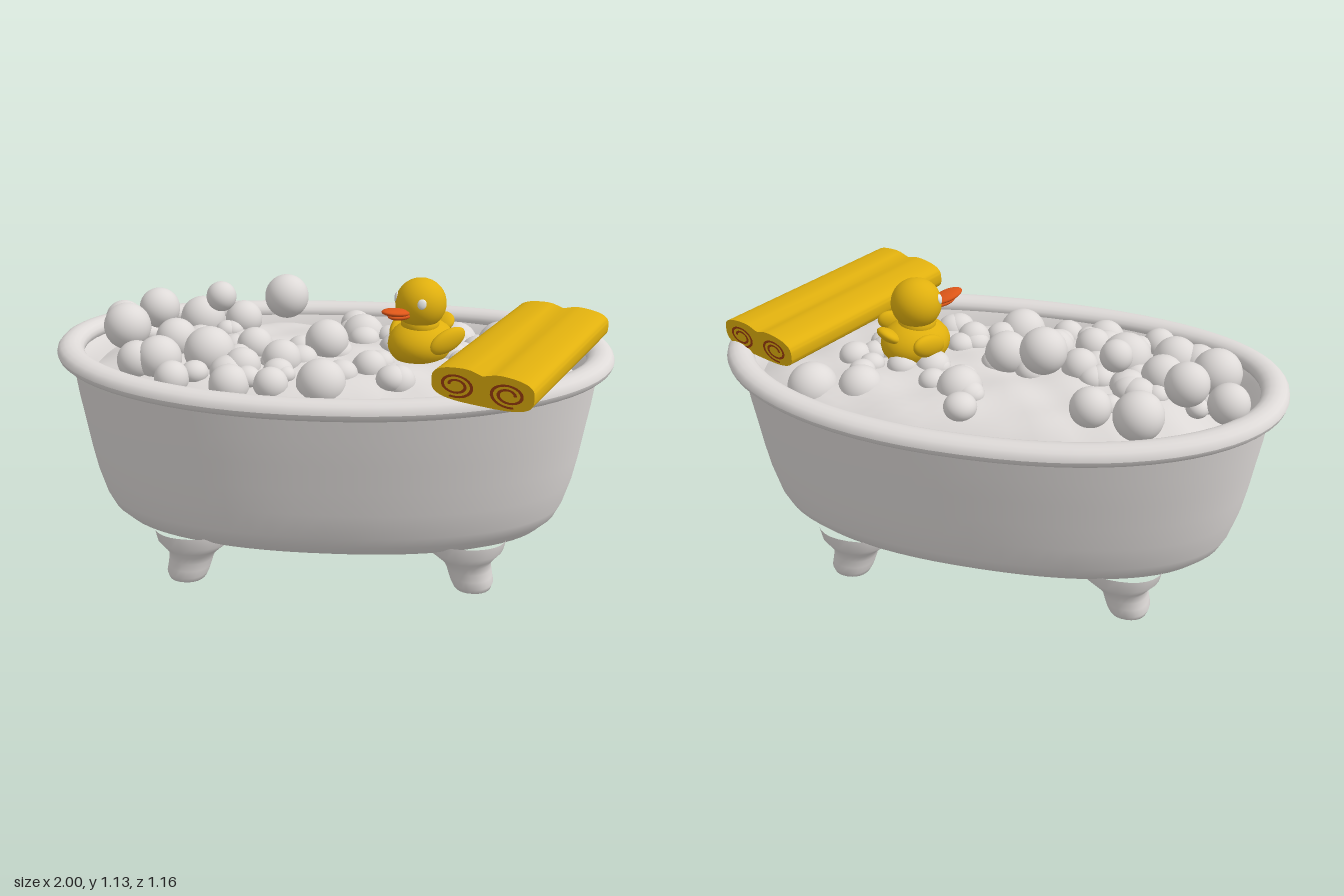
import * as THREE from 'three';
import { toCreasedNormals } from 'three/addons/utils/BufferGeometryUtils.js';

const paint = (name, color, side = THREE.FrontSide) => {
  const m = new THREE.MeshStandardMaterial({ color, side });
  m.name = name;
  return m;
};

export function createModel() {
  const enamel = paint('white enamel', 0xdedad8);
  const yellow = paint('warm yellow', 0xe0b00e);
  const orange = paint('orange', 0xdd5618);
  const fold = paint('towel fold red', 0x9c3d0c, THREE.DoubleSide);
  const eyeWhite = paint('eye white', 0xeeeeea);

  const model = new THREE.Group();
  model.name = 'bathtub';
  const TUB_Z = -0.045;

  const add = (parent, name, geo, mat) => {
    const mesh = new THREE.Mesh(geo, mat);
    mesh.name = name;
    parent.add(mesh);
    return mesh;
  };
  const sphere = new THREE.SphereGeometry(1, 28, 18);
  const ball = (parent, name, mat, pos, size, rot = [0, 0, 0]) => {
    const mesh = add(parent, name, sphere, mat);
    mesh.position.set(...pos);
    mesh.scale.set(...size);
    mesh.rotation.set(...rot);
    return mesh;
  };

  // Skin over oval rings; each row is [rx, rz, y, cx, cz], upward rows face out
  const loft = (rows, { n = 72, power = 2.15, rise = 0 } = {}) => {
    const pos = [], idx = [];
    const curve = (v) => Math.sign(v) * Math.abs(v) ** (2 / power);
    rows.forEach(([rx, rz, y, cx = 0, cz = 0]) => {
      for (let j = 0; j < n; j++) {
        const t = (j / n) * Math.PI * 2;
        pos.push(cx + rx * curve(Math.cos(t)), y + rise * Math.cos(t) ** 2, cz + rz * curve(Math.sin(t)));
      }
    });
    for (let i = 0; i < rows.length - 1; i++) {
      for (let j = 0; j < n; j++) {
        const a = i * n + j, b = i * n + ((j + 1) % n);
        idx.push(a, a + n, b, b, a + n, b + n);
      }
    }
    const g = new THREE.BufferGeometry();
    g.setAttribute('position', new THREE.Float32BufferAttribute(pos, 3));
    g.setIndex(idx);
    g.computeVertexNormals();
    return g;
  };

  // Tub shell, rolled rim and inner wall
  const tub = new THREE.Group();
  tub.name = 'tub';
  tub.position.z = TUB_Z;
  model.add(tub);
  add(tub, 'tubBody', loft([
    [0.001, 0.001, 0.138], [0.45, 0.17, 0.138], [0.6, 0.22, 0.142], [0.68, 0.265, 0.153],
    [0.75, 0.31, 0.175], [0.8, 0.345, 0.2], [0.845, 0.39, 0.25], [0.866, 0.415, 0.3],
    [0.892, 0.432, 0.4], [0.908, 0.446, 0.5], [0.92, 0.459, 0.6], [0.933, 0.473, 0.7], [0.946, 0.487, 0.84],
  ], { power: 2.25 }), enamel);
  const rimRows = [];
  for (let i = 0; i <= 16; i++) {
    const a = (i / 16) * Math.PI * 2;
    const d = 0.048 * Math.cos(a);
    rimRows.push([0.95 + d, 0.498 + d, 0.827 + 0.036 * Math.sin(a)]);
  }
  add(tub, 'rim', loft(rimRows, { rise: 0.028 }), enamel);
  add(tub, 'innerWall', loft([[0.925, 0.475, 0.85], [0.9, 0.45, 0.82], [0.88, 0.425, 0.78], [0.86, 0.4, 0.72]]), enamel);

  // Four stubby feet flaring into the belly
  for (const sx of [-1, 1]) {
    for (const sz of [-1, 1]) {
      const foot = [
        [0.001, 0.001, 0, 0.535], [0.055, 0.06, 0, 0.535], [0.071, 0.077, 0.009, 0.535], [0.079, 0.085, 0.03, 0.533],
        [0.081, 0.085, 0.06, 0.525], [0.083, 0.083, 0.09, 0.518], [0.09, 0.09, 0.12, 0.51],
        [0.11, 0.105, 0.145, 0.505], [0.14, 0.12, 0.175, 0.5], [0.15, 0.12, 0.22, 0.5],
      ].map(([rx, rz, y, cx]) => [rx, rz, y, sx * cx, sz * 0.205]);
      add(tub, 'foot', loft(foot, { n: 28, power: 2.3 }), enamel);
    }
  }

  // Foam: a lumpy bed, large bubbles placed by hand, small ones scattered
  const foam = new THREE.Group();
  foam.name = 'foam';
  model.add(foam);
  const bedRows = [];
  for (let i = 0; i <= 16; i++) {
    const s = Math.max(1 - i / 16, 0.001);
    bedRows.push([0.87 * s, 0.405 * s, 0.775 + 0.075 * (1 - s ** 5)]);
  }
  const bed = loft(bedRows, { power: 2.5 });
  const p = bed.attributes.position;
  for (let i = 0; i < p.count; i++) {
    const x = p.getX(i), z = p.getZ(i);
    p.setY(i, p.getY(i) + 0.009 * Math.sin(x * 19 + 2 * z) * Math.cos(z * 23 - x * 5));
  }
  bed.computeVertexNormals();
  add(foam, 'foamBed', bed, enamel).position.z = TUB_Z;

  // x, z, radius, top height
  const bubbles = [
    [-0.18, -0.18, 0.08, 1.08], [-0.42, -0.16, 0.055, 1.055], [-0.66, -0.19, 0.075, 1.015], [-0.8, -0.2, 0.07, 0.96],
    [-0.75, -0.05, 0.085, 1.0], [-0.52, -0.3, 0.085, 0.95], [-0.36, -0.29, 0.07, 0.94], [-0.43, 0.07, 0.09, 0.96],
    [-0.02, -0.02, 0.078, 0.965], [-0.02, 0.25, 0.085, 0.92], [-0.6, 0.12, 0.08, 0.94], [-0.68, 0.12, 0.07, 0.92],
    [-0.3, 0.16, 0.065, 0.92], [-0.17, 0.1, 0.07, 0.93], [0.1, -0.22, 0.08, 0.92], [-0.53, 0.25, 0.06, 0.9],
    [-0.33, 0.27, 0.07, 0.9], [0.14, 0.13, 0.06, 0.91], [-0.57, -0.04, 0.075, 0.95], [-0.28, -0.02, 0.065, 0.93],
    [0.24, 0.21, 0.06, 0.89], [0.62, -0.26, 0.09, 0.89], [0.45, -0.24, 0.08, 0.89], [-0.19, 0.26, 0.06, 0.89],
  ];
  for (const [x, z, r, top] of bubbles) ball(foam, 'bubble', enamel, [x, top - r, z], [r, r, r]);
  let seed = 11;
  const rand = () => (seed = (seed * 16807) % 2147483647) / 2147483647;
  for (let i = 0; i < 50; i++) {
    const a = rand() * Math.PI * 2, d = Math.sqrt(rand()), r = 0.035 + 0.03 * rand();
    const x = -0.13 + 0.66 * d * Math.cos(a);
    ball(foam, 'smallBubble', enamel, [x, 0.845, TUB_Z + 0.32 * d * Math.sin(a)], [r, r * 0.85, r]);
  }

  // Toy duck, built facing +z and then turned
  const duck = new THREE.Group();
  duck.name = 'toyDuck';
  duck.position.set(0.31, 0, -0.01);
  duck.rotation.y = -0.75;
  model.add(duck);
  ball(duck, 'duckBody', yellow, [0, 0.895, -0.01], [0.112, 0.085, 0.128]);
  ball(duck, 'duckNeck', yellow, [0, 0.965, 0], [0.068, 0.05, 0.068]);
  ball(duck, 'duckHead', yellow, [0, 1.041, 0], [0.09, 0.089, 0.09]);
  ball(duck, 'duckTail', yellow, [0, 0.945, -0.115], [0.05, 0.022, 0.045], [0.6, 0, 0]);
  for (const s of [-1, 1]) {
    ball(duck, 'duckWing', yellow, [s * 0.112, 0.925, -0.02], [0.025, 0.042, 0.075], [0.35, s * -0.25, 0]);
    ball(duck, 'duckEye', eyeWhite, [s * 0.06, 1.063, 0.06], [0.016, 0.018, 0.008], [-0.25, s * 0.78, 0]);
  }
  ball(duck, 'upperBeak', orange, [0, 1.035, 0.125], [0.036, 0.014, 0.062], [-0.2, 0, 0]);
  ball(duck, 'lowerBeak', orange, [0, 1.018, 0.105], [0.03, 0.013, 0.052], [-0.1, 0, 0]);

  // Rolled towel lying across the rim, with scrolls showing at both ends
  const towel = new THREE.Group();
  towel.name = 'towel';
  towel.position.set(0.667, 0.929, 0.145);
  towel.rotation.set(-0.012, -0.438, 0, 'YXZ');
  model.add(towel);
  const outline = [];
  for (let i = 0; i < 64; i++) {
    const a = (i / 64) * Math.PI * 2, c = Math.cos(a), s = Math.sin(a);
    const x = 0.171 * Math.sign(c) * Math.abs(c) ** 0.62;
    const groove = s > 0 ? 0.014 * Math.exp(-((x / 0.03) ** 2)) : 0;
    outline.push(new THREE.Vector2(x, 0.057 * Math.sign(s) * Math.abs(s) ** 0.62 - groove));
  }
  const LENGTH = 0.785;
  const roll = new THREE.ExtrudeGeometry(new THREE.Shape(outline), { depth: LENGTH, bevelEnabled: false });
  roll.translate(0, 0, -LENGTH / 2);
  add(towel, 'towelRoll', toCreasedNormals(roll, 0.7), yellow);

  const spiral = (offset) => Array.from({ length: 41 }, (_, i) => {
    const t = i / 40, a = t * Math.PI * 3.6, r = 0.014 + 0.026 * t + offset;
    return new THREE.Vector2(r * 1.55 * Math.cos(a), r * Math.sin(a));
  });
  const scroll = new THREE.ShapeGeometry(new THREE.Shape([...spiral(0.0035), ...spiral(-0.0035).reverse()]));
  for (const end of [-1, 1]) {
    for (const s of [-1, 1]) {
      const mesh = add(towel, 'towelScroll', scroll, fold);
      mesh.position.set(s * 0.088, -0.003, end * (LENGTH / 2 + 0.002));
      mesh.rotation.y = s < 0 ? Math.PI : 0;
    }
  }
  return model;
}
